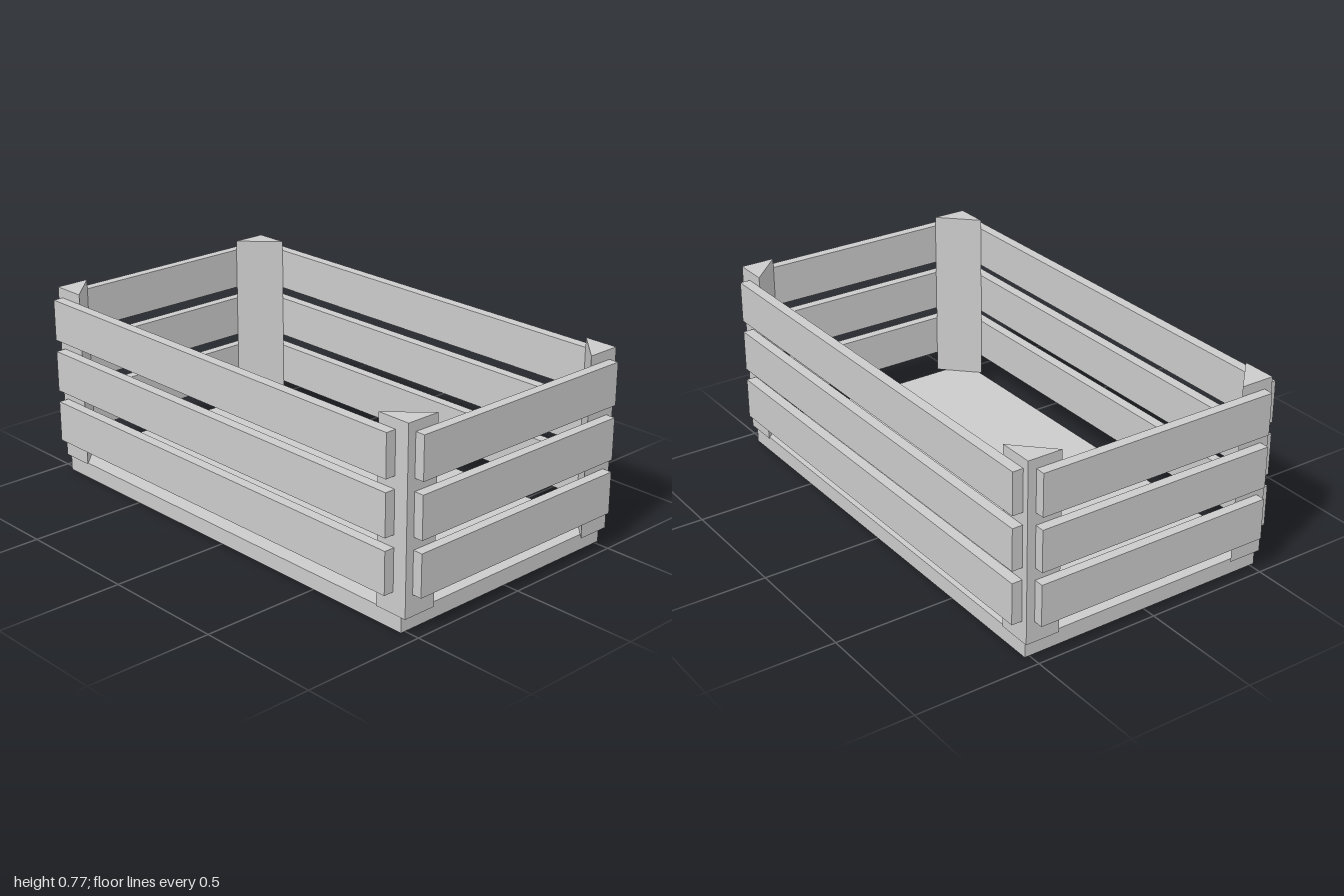
import * as THREE from 'three';

export function createModel() {
  const crate = new THREE.Group();
  crate.name = 'crate';
  const material = new THREE.MeshStandardMaterial({ color: 0xcccccc, flatShading: true });

  const add = (name, geometry, x, y, z) => {
    const mesh = new THREE.Mesh(geometry, material);
    mesh.name = name;
    mesh.position.set(x, y, z);
    crate.add(mesh);
    return mesh;
  };

  // Bottom board
  const baseTop = 0.063;
  add('bottomBoard', new THREE.BoxGeometry(1.038, baseTop, 1.88), 0, baseTop / 2, -0.004);

  // Triangular corner posts, right angle facing outwards
  const postX = 0.526, postZ = 0.961, leg = 0.138, postHeight = 0.711;
  const cornerPost = (sx, sz) => {
    const shape = new THREE.Shape([
      new THREE.Vector2(0, 0),
      new THREE.Vector2(-sx * leg, 0),
      new THREE.Vector2(0, sz * leg),
    ]);
    const geometry = new THREE.ExtrudeGeometry(shape, { depth: postHeight, bevelEnabled: false });
    return geometry.rotateX(-Math.PI / 2);
  };
  for (const sx of [-1, 1]) {
    for (const sz of [-1, 1]) {
      const name = (sz > 0 ? 'front' : 'back') + (sx > 0 ? 'Left' : 'Right') + 'Post';
      add(name, cornerPost(sx, sz), sx * postX, baseTop, sz * postZ);
    }
  }

  // Three rows of slats around the outside of the posts
  const slatHeight = 0.165;
  const endSlat = new THREE.BoxGeometry(0.984, slatHeight, 1 - postZ);
  const sideSlat = new THREE.BoxGeometry(0.042, slatHeight, 1.838);
  for (let row = 0; row < 3; row++) {
    const y = 0.228 + row * 0.2125;
    for (const s of [-1, 1]) {
      add(s > 0 ? 'frontSlat' : 'backSlat', endSlat, 0, y, s * (1 + postZ) / 2);
      add(s > 0 ? 'leftSlat' : 'rightSlat', sideSlat, s * (postX + 0.021), y, -0.016);
    }
  }
  return crate;
}
